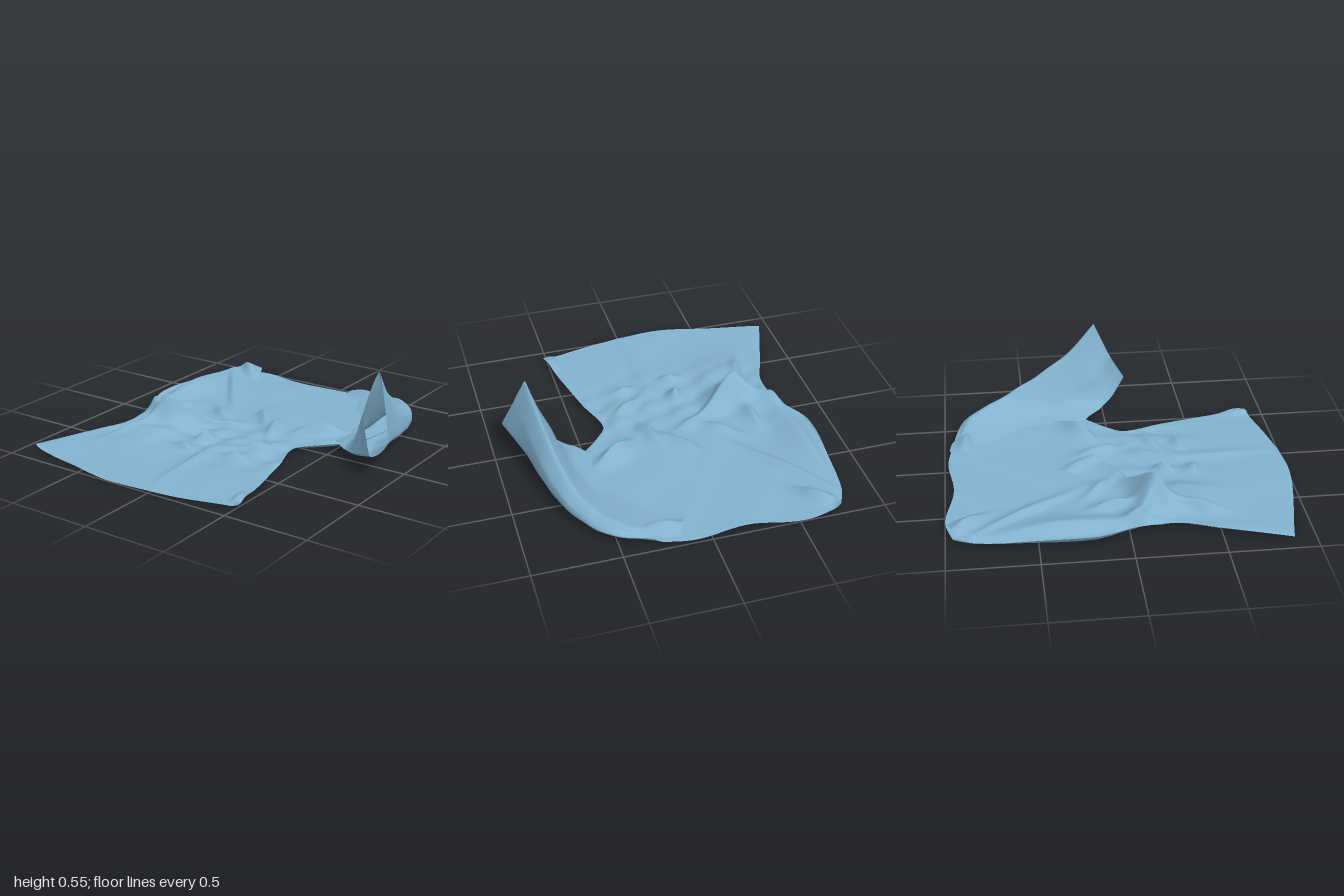
import * as THREE from 'three';

const cloth = new THREE.MeshStandardMaterial({ color: 0x82b2cf, side: THREE.DoubleSide });
const { lerp, clamp } = THREE.MathUtils;
const bell = (k, centre, width) => Math.exp(-(((k - centre) / width) ** 2));

// Smooth lookup in rows of [key, value]
function lookup(rows, k) {
  let i = 0;
  while (i < rows.length - 2 && k > rows[i + 1][0]) i++;
  const slope = (n) => {
    const a = rows[Math.max(n - 1, 0)], b = rows[Math.min(n + 1, rows.length - 1)];
    return (b[1] - a[1]) / (b[0] - a[0]);
  };
  const [a, b] = [rows[i], rows[i + 1]], w = b[0] - a[0], t = clamp((k - a[0]) / w, 0, 1);
  const s = t * t * (3 - 2 * t);
  return lerp(a[1], b[1], s) + w * t * (1 - t) * (slope(i) * (1 - t) - slope(i + 1) * t);
}

// Grid surface from a point function of s, t in 0..1
function surface(name, nS, nT, point, flip = false) {
  const pos = [], index = [];
  for (let j = 0; j <= nT; j++)
    for (let i = 0; i <= nS; i++) pos.push(...point(i / nS, j / nT));
  for (let j = 0; j < nT; j++)
    for (let i = 0; i < nS; i++) {
      const a = j * (nS + 1) + i, b = a + 1, c = a + nS + 1, d = c + 1;
      if (flip) index.push(a, b, c, b, d, c);
      else index.push(a, c, b, b, c, d);
    }
  const geo = new THREE.BufferGeometry();
  geo.setAttribute('position', new THREE.Float32BufferAttribute(pos, 3));
  geo.setIndex(index);
  geo.computeVertexNormals();
  const mesh = new THREE.Mesh(geo, cloth);
  mesh.name = name;
  return mesh;
}

// Side seams of the body as [z, x]
const rightSeam = [[-0.97, -0.76], [-0.85, -0.81], [-0.6, -0.84], [-0.2, -0.855],
  [0.05, -0.76], [0.3, -0.735], [0.5, -0.8], [0.93, -0.935]];
const leftSeam = [[-0.97, 0.3], [-0.85, 0.5], [-0.6, 0.62], [-0.4, 0.62], [-0.2, 0.57],
  [0, 0.39], [0.1, 0.33], [0.35, 0.4], [0.93, 0.525]];
// Offset of the shoulder line and of the hem in z, across the width
const topShift = [[0, 0.02], [0.2, -0.03], [0.5, 0.02], [0.8, -0.01], [1, 0.02]];
const hemShift = [[0, -0.06], [0.5, 0.07], [1, -0.04]];

// Folds as [x, z, half length, half width, angle, height]
const folds = [
  [-0.48, 0.17, 0.13, 0.09, -0.5, 0.14], [-0.66, 0.08, 0.16, 0.06, 0.6, 0.07],
  [-0.5, 0.36, 0.2, 0.14, 1.8, 0.05], [-0.75, -0.35, 0.4, 0.1, 1.5, 0.065],
  [-0.65, -0.88, 0.13, 0.06, 0.8, 0.06], [-0.55, -0.55, 0.35, 0.04, 0.95, 0.035],
  [-0.55, -0.08, 0.1, 0.04, 1.4, 0.05], [-0.34, 0.08, 0.2, 0.04, -0.5, 0.045],
  [-0.33, -0.12, 0.14, 0.04, 0.7, 0.035], [-0.6, 0.38, 0.17, 0.04, 1.9, 0.04],
  [-0.17, 0.45, 0.06, 0.04, 0.2, 0.04], [-0.17, 0.27, 0.05, 0.04, 1.8, 0.05],
  [0.12, 0.4, 0.06, 0.04, -0.2, 0.04], [0.15, 0.23, 0.09, 0.04, -0.6, 0.05],
  [0.33, -0.18, 0.13, 0.06, -0.6, 0.08], [0.08, -0.08, 0.14, 0.04, 1.2, 0.045],
  [-0.07, -0.2, 0.16, 0.04, 0.9, 0.04], [0.25, -0.87, 0.14, 0.05, 0.1, 0.055],
  [0.48, 0.84, 0.08, 0.04, 1.4, 0.03], [-0.03, 0.6, 0.3, 0.05, 1.5, 0.02],
];

function frontHeight(x, z) {
  let y = 0.038 + 0.005 * Math.sin(9 * x + 4 * z) * Math.sin(7 * z - 3 * x);
  for (const [fx, fz, length, width, angle, height] of folds) {
    const c = Math.cos(angle), s = Math.sin(angle), dx = x - fx, dz = z - fz;
    const along = (c * dx + s * dz) / length, side = (c * dz - s * dx) / width;
    // Each fold is steeper on one side
    const across = side > 0 ? side * 1.6 : side * 0.9;
    y += height * Math.exp(-along * along - Math.abs(across) ** 1.6);
  }
  // Gathers that spread from the waist
  return y + bell(z, 0.2, 0.28) * (0.009 * Math.sin(32 * x + 5 * z) + 0.005 * Math.sin(41 * z + 17 * x));
}

function bodyPoint(u, v, front) {
  const row = lerp(-0.97, 0.93, v);
  const x = lerp(lookup(rightSeam, row), lookup(leftSeam, row), u);
  const z = row + lookup(topShift, u) * (1 - v) ** 4 + lookup(hemShift, u) * v ** 4;
  const seam = 0.035 + (u < 0.5 ? 0.025 * bell(row, -0.3, 0.35) : 0.02 * bell(row, 0.85, 0.08));
  const edge = Math.sqrt(clamp(Math.min(u, 1 - u) / 0.04, 0, 1));
  const top = frontHeight(x, z);
  if (front) return [x, lerp(seam, top, edge), z];
  // Crumpled underside at the waist
  const crumple = Math.sin(38 * z + 11 * x) * Math.sin(14 * x) + 0.5 * Math.sin(47 * x - 29 * z);
  const under = 0.012 + 0.003 * Math.sin(13 * x + 9 * z) + bell(z, 0.17, 0.13) * 0.016 * (1.2 + crumple);
  return [x, lerp(seam, Math.min(under, top - 0.006), edge), z];
}

// Across-fraction of an x position on the row at v
function fraction(x, v) {
  const row = lerp(-0.97, 0.93, v), a = lookup(rightSeam, row);
  return (x - a) / (lookup(leftSeam, row) - a);
}

// Sleeve sections from shoulder to cuff: inner edge, front, ridge, outer face, outer edge, underside
const sections = [
  [[0.44, 0.03, -0.16], [0.36, 0.028, -0.5], [0.2, 0.045, -0.9], [0.21, 0.04, -0.93], [0.22, 0.03, -0.95], [0.35, 0.014, -0.5]],
  [[0.5, 0.05, -0.11], [0.53, 0.06, -0.45], [0.48, 0.1, -0.82], [0.52, 0.085, -0.85], [0.53, 0.05, -0.86], [0.52, 0.012, -0.45]],
  [[0.54, 0.06, -0.07], [0.585, 0.09, -0.35], [0.63, 0.15, -0.63], [0.69, 0.11, -0.65], [0.7, 0.06, -0.63], [0.61, 0.012, -0.38]],
  [[0.61, 0.06, -0.01], [0.635, 0.15, -0.24], [0.71, 0.26, -0.4], [0.78, 0.18, -0.4], [0.79, 0.09, -0.37], [0.67, 0.02, -0.24]],
  [[0.71, 0.09, 0.07], [0.685, 0.24, -0.06], [0.755, 0.39, -0.2], [0.82, 0.27, -0.19], [0.84, 0.13, -0.16], [0.76, 0.05, -0.05]],
  [[0.865, 0.14, 0.16], [0.765, 0.34, 0.06], [0.8, 0.555, -0.04], [0.87, 0.38, 0.01], [0.932, 0.2, 0.08], [0.91, 0.15, 0.13]],
];
const rails = sections[0].map((_, k) =>
  new THREE.CatmullRomCurve3(sections.map((s) => new THREE.Vector3(...s[k]))));

function sleevePoint(s, t) {
  const ring = new THREE.CatmullRomCurve3(rails.map((r) => r.getPoint(t)), true, 'catmullrom', 0.25);
  const p = ring.getPoint(s);
  // Faint creases that fade out at both ends
  p.y += 0.003 * Math.sin(Math.PI * t) * Math.sin(26 * p.z + 22 * p.x);
  return [p.x, Math.max(p.y, 0.008), p.z];
}

export function createModel() {
  const group = new THREE.Group();
  group.name = 'wrapTop';
  const split = 0.405; // depth at which the neckline meets
  const neck = (from, v) => fraction(lerp(from, -0.2, v / split), v);

  group.add(surface('backPanel', 90, 110, (s, t) => bodyPoint(s, t, false), true));

  // Front panels on both sides of the open neckline
  group.add(surface('rightFront', 40, 50, (s, t) => {
    const v = t * split;
    return bodyPoint(s * neck(-0.62, v), v, true);
  }));
  group.add(surface('leftFront', 48, 50, (s, t) => {
    const v = t * split;
    return bodyPoint(lerp(neck(0.18, v), 1, s), v, true);
  }));
  group.add(surface('lowerFront', 110, 90, (s, t) => bodyPoint(s, lerp(split, 1, t), true)));

  // Raised sleeve with an open cuff
  group.add(surface('leftSleeve', 48, 50, sleevePoint));

  // Sit on the ground, centred
  const box = new THREE.Box3().setFromObject(group);
  const c = box.getCenter(new THREE.Vector3());
  group.children.forEach((m) => m.geometry.translate(-c.x, -box.min.y, -c.z));
  return group;
}
